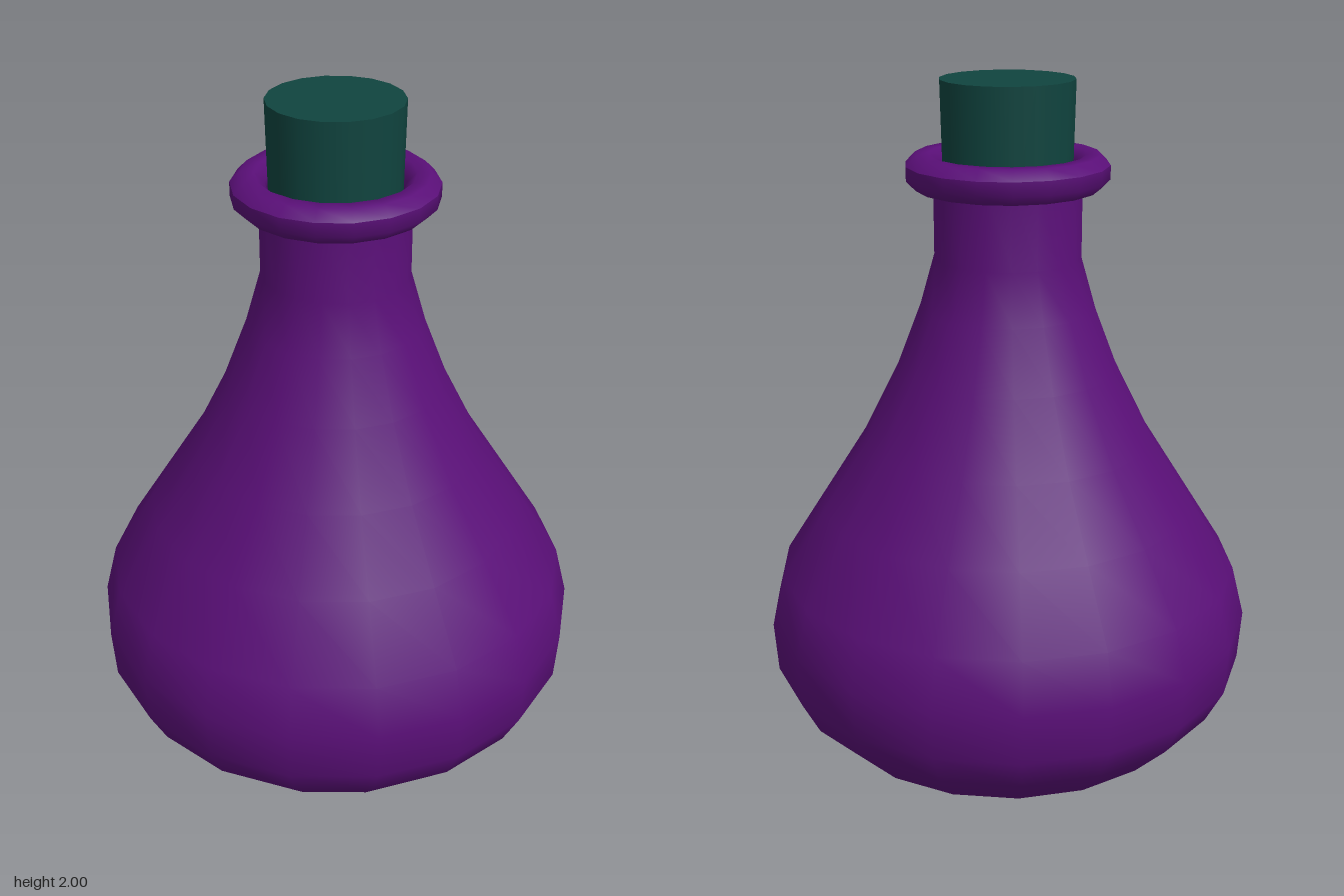
import * as THREE from 'three';

const SIDES = 18;

export function createModel() {
  const model = new THREE.Group();
  model.name = 'potionBottle';
  const glass = new THREE.MeshStandardMaterial({ color: 0x5a0f78, side: THREE.DoubleSide });
  const cork = new THREE.MeshStandardMaterial({ color: 0x10443f });

  const add = (name, geometry, material) => {
    const mesh = new THREE.Mesh(geometry, material);
    mesh.name = name;
    model.add(mesh);
    return mesh;
  };
  // Revolve a profile with a corner on the x axis
  const lathe = (points) => new THREE.LatheGeometry(
    points.map(([r, y]) => new THREE.Vector2(r, y)), SIDES, Math.PI / 2);

  // Round belly tapering into the straight neck
  add('bottleBody', lathe([
    [0, 0], [0.18, 0.02], [0.335, 0.055], [0.515, 0.16], [0.62, 0.265],
    [0.67, 0.36], [0.68, 0.5], [0.645, 0.64], [0.525, 0.83], [0.405, 1.02],
    [0.305, 1.22], [0.24, 1.39], [0.2, 1.53], [0.2, 1.75],
  ]), glass);

  // Eight-sided ring around the mouth
  const ring = [];
  for (let i = 0; i <= 8; i++) {
    const a = (i + 0.5) * Math.PI / 4;
    ring.push([0.228 + 0.049 * Math.cos(a), 1.76 + 0.049 * Math.sin(a)]);
  }
  add('lipRing', lathe(ring), glass);

  // Slightly tapered stopper
  const stopper = add('stopper',
    new THREE.CylinderGeometry(0.18, 0.172, 0.35, SIDES, 1, false, Math.PI / 2), cork);
  stopper.position.y = 1.825;

  return model;
}
